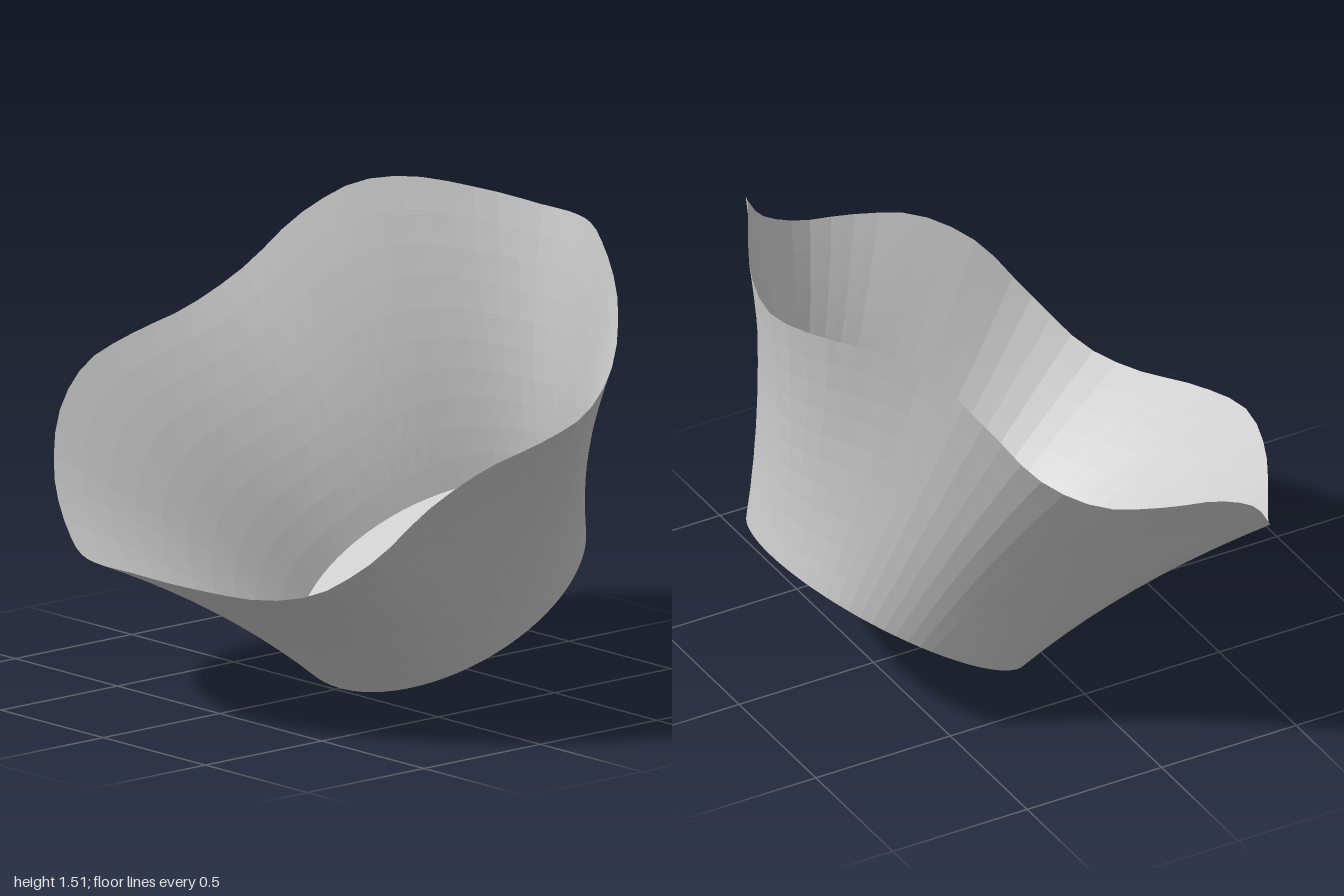
import * as THREE from 'three';

const SEGMENTS = 72, ROWS = 10;
const BASE_RADIUS = 0.51;
const CENTRE = new THREE.Vector3(0, 0.27, -0.4525);
const TILT = THREE.MathUtils.degToRad(32);
// Downhill direction within the tilted base plane
const DOWNHILL = new THREE.Vector3(0, -Math.sin(TILT), Math.cos(TILT));

// Quarter of the wavy rim, front middle to left side, relative to (0, 1, 0)
const QUARTER = [
  [0, -0.47, 0.885], [0.2, -0.487, 0.84], [0.45, -0.51, 0.71],
  [0.6, -0.48, 0.625], [0.7, -0.42, 0.575], [0.8, -0.33, 0.51],
  [0.9, -0.18, 0.4], [0.975, -0.06, 0.22], [1, 0, 0],
];

// Mirror the quarter into one closed rim curve
function rimCurve() {
  const half = [
    ...QUARTER,
    ...QUARTER.slice(0, -1).reverse().map(([x, y, z]) => [x, -y, -z]),
  ];
  const other = half.slice(1, -1).reverse().map(([x, y, z]) => [-x, y, z]);
  const points = [...half, ...other].map(([x, y, z]) => new THREE.Vector3(x, 1 + y, z));
  return new THREE.CatmullRomCurve3(points, true, 'centripetal');
}

// Point in the base plane, at an angle measured from the downhill direction
function basePoint(angle, radius) {
  return CENTRE.clone()
    .addScaledVector(DOWNHILL, Math.cos(angle) * radius)
    .add(new THREE.Vector3(Math.sin(angle) * radius, 0, 0));
}

// Skin a stack of closed rings
function loft(rings) {
  const n = rings[0].length, index = [];
  for (let r = 0; r < rings.length - 1; r++) {
    for (let i = 0; i < n; i++) {
      const a = r * n + i, b = r * n + (i + 1) % n;
      index.push(a, b, a + n, b, b + n, a + n);
    }
  }
  const geometry = new THREE.BufferGeometry().setFromPoints(rings.flat());
  geometry.setIndex(index);
  geometry.computeVertexNormals();
  return geometry;
}

export function createModel() {
  const group = new THREE.Group();
  group.name = 'tiltedWavyBowl';
  const material = new THREE.MeshStandardMaterial({
    color: 0xcccccc, side: THREE.DoubleSide, flatShading: true,
  });

  // Match each rim point with the base angle below it
  const rim = rimCurve().getSpacedPoints(SEGMENTS).slice(0, SEGMENTS);
  const angles = rim.map((p) => Math.atan2(p.x, p.clone().sub(CENTRE).dot(DOWNHILL)));

  // Flared wall, drawn in slightly at mid height
  const wallRings = [];
  for (let r = 0; r <= ROWS; r++) {
    const t = r / ROWS, pinch = 0.16 * t * (1 - t);
    wallRings.push(rim.map((p, i) => {
      const inward = basePoint(angles[i], pinch).sub(CENTRE);
      return basePoint(angles[i], BASE_RADIUS).lerp(p, t).sub(inward);
    }));
  }
  const wall = new THREE.Mesh(loft(wallRings), material);
  wall.name = 'wall';

  // Flat round base closing the bottom of the wall
  const base = new THREE.Mesh(loft([rim.map(() => CENTRE.clone()), wallRings[0]]), material);
  base.name = 'base';

  group.add(wall, base);
  return group;
}
